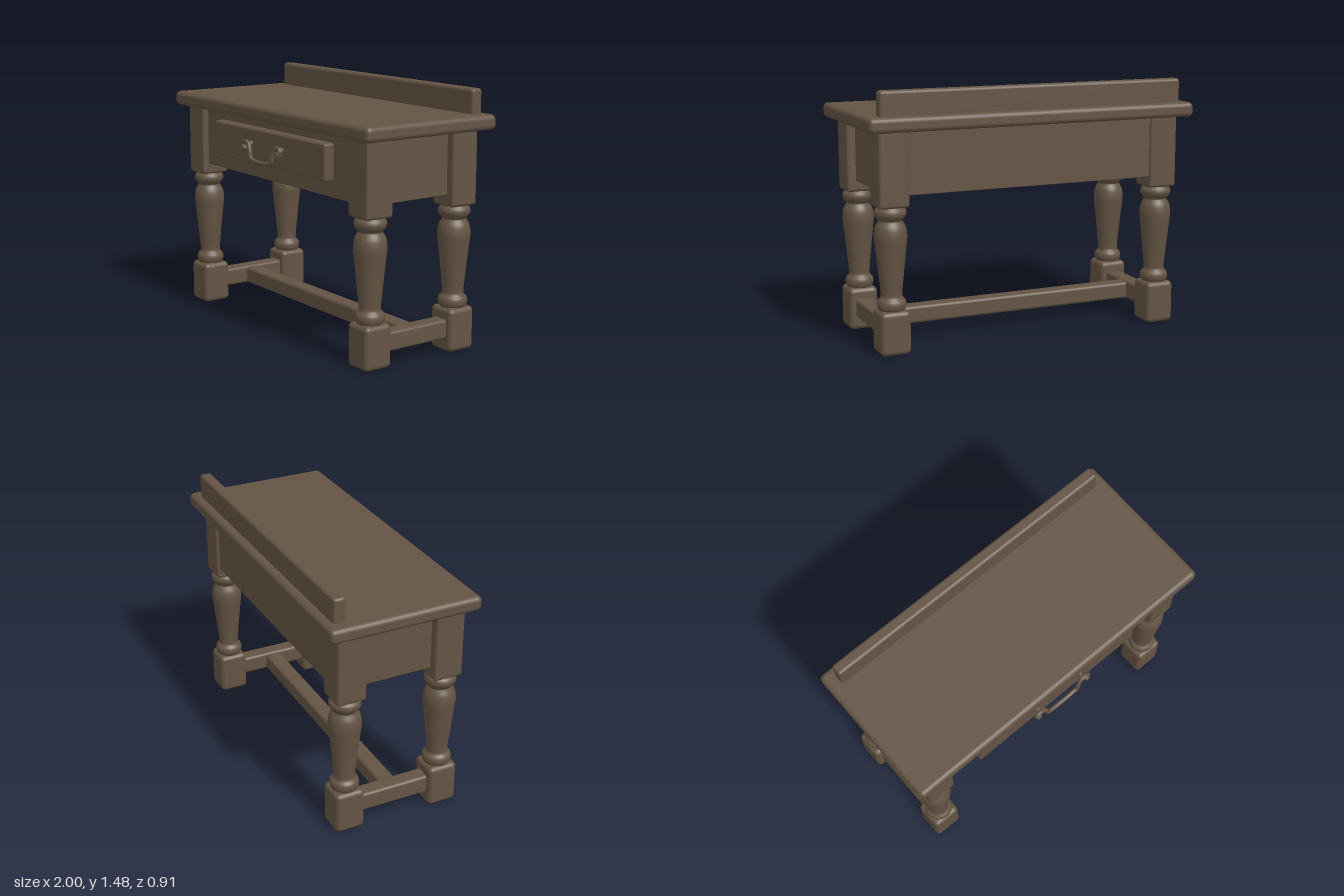
import * as THREE from 'three';
import { RoundedBoxGeometry } from 'three/addons/geometries/RoundedBoxGeometry.js';

const wood = new THREE.MeshStandardMaterial({ color: 0x645444 });
wood.name = 'brown wood';

export function createModel() {
  const group = new THREE.Group();
  group.name = 'sideTable';

  const add = (name, geometry, parent = group) => {
    const mesh = new THREE.Mesh(geometry, wood);
    mesh.name = name;
    parent.add(mesh);
    return mesh;
  };

  // Rounded board given by its extents on each axis
  const board = (name, [x0, x1], [y0, y1], [z0, z1], r = 0.015, parent = group) => {
    const mesh = add(name, new RoundedBoxGeometry(x1 - x0, y1 - y0, z1 - z0, 3, r), parent);
    mesh.position.set((x0 + x1) / 2, (y0 + y1) / 2, (z0 + z1) / 2);
    return mesh;
  };

  // Top and raised back ledge
  board('tableTop', [-1, 1], [1.255, 1.34], [-0.455, 0.44], 0.028);
  board('backLedge', [-0.927, 0.927], [1.31, 1.48], [-0.407, -0.335], 0.018);

  // Closed drawer case, slightly recessed between the legs
  board('drawerCase', [-0.875, 0.875], [0.897, 1.28], [-0.365, 0.345], 0.006);
  board('drawerFront', [-0.575, 0.575], [0.99, 1.2], [0.32, 0.405], 0.015);

  // Turned shaft: ring, neck, swelling baluster, lower ring
  const profile = [
    [0.066, 0.22], [0.068, 0.24], [0.08, 0.262], [0.083, 0.283], [0.078, 0.303],
    [0.063, 0.32], [0.061, 0.345], [0.066, 0.4], [0.08, 0.54], [0.09, 0.63],
    [0.093, 0.67], [0.087, 0.715], [0.072, 0.745], [0.068, 0.757], [0.08, 0.772],
    [0.09, 0.793], [0.087, 0.815], [0.074, 0.832], [0.074, 0.86],
  ].map(([r, y]) => new THREE.Vector2(r, y));
  const shaft = new THREE.LatheGeometry(new THREE.SplineCurve(profile).getPoints(60), 32);

  // Four legs with square blocks at foot and head
  for (const sx of [-1, 1]) {
    for (const sz of [-1, 1]) {
      const leg = new THREE.Group();
      leg.name = (sz > 0 ? 'front' : 'back') + (sx > 0 ? 'Left' : 'Right') + 'Leg';
      leg.position.set(sx * 0.84, 0, sz * 0.295);
      group.add(leg);
      const w = [-0.088, 0.088];
      board('foot', w, [0, 0.25], w, 0.028, leg);
      board('post', w, [0.832, 1.28], w, 0.018, leg);
      add('turnedShaft', shaft, leg);
    }
    // Side stretcher between front and back feet
    const x = sx * 0.84;
    board('sideStretcher', [x - 0.05, x + 0.05], [0.075, 0.187], [-0.23, 0.23], 0.018);
  }
  board('longStretcher', [-0.82, 0.82], [0.075, 0.178], [-0.05, 0.05], 0.018);

  // Swan-neck drawer handle
  const handle = new THREE.Group();
  handle.name = 'drawerHandle';
  group.add(handle);
  const half = [
    [0.185, 1.085, 0.44], [0.192, 1.11, 0.44], [0.168, 1.125, 0.44], [0.135, 1.113, 0.44],
    [0.118, 1.075, 0.443], [0.108, 1.035, 0.443], [0.07, 1.021, 0.443],
  ];
  const path = [
    ...half.map(([x, y, z]) => new THREE.Vector3(-x, y, z)),
    new THREE.Vector3(0, 1.017, 0.443),
    ...half.slice().reverse().map((p) => new THREE.Vector3(...p)),
  ];
  add('bail', new THREE.TubeGeometry(new THREE.CatmullRomCurve3(path), 80, 0.013, 10), handle);
  for (const sx of [-1, 1]) {
    const curl = add('curlEnd', new THREE.SphereGeometry(0.02, 14, 10), handle);
    curl.position.set(sx * 0.178, 1.088, 0.44);
    const pin = add('handlePin', new THREE.CylinderGeometry(0.012, 0.018, 0.05, 14), handle);
    pin.rotation.x = Math.PI / 2;
    pin.position.set(sx * 0.16, 1.11, 0.42);
  }
  return group;
}
